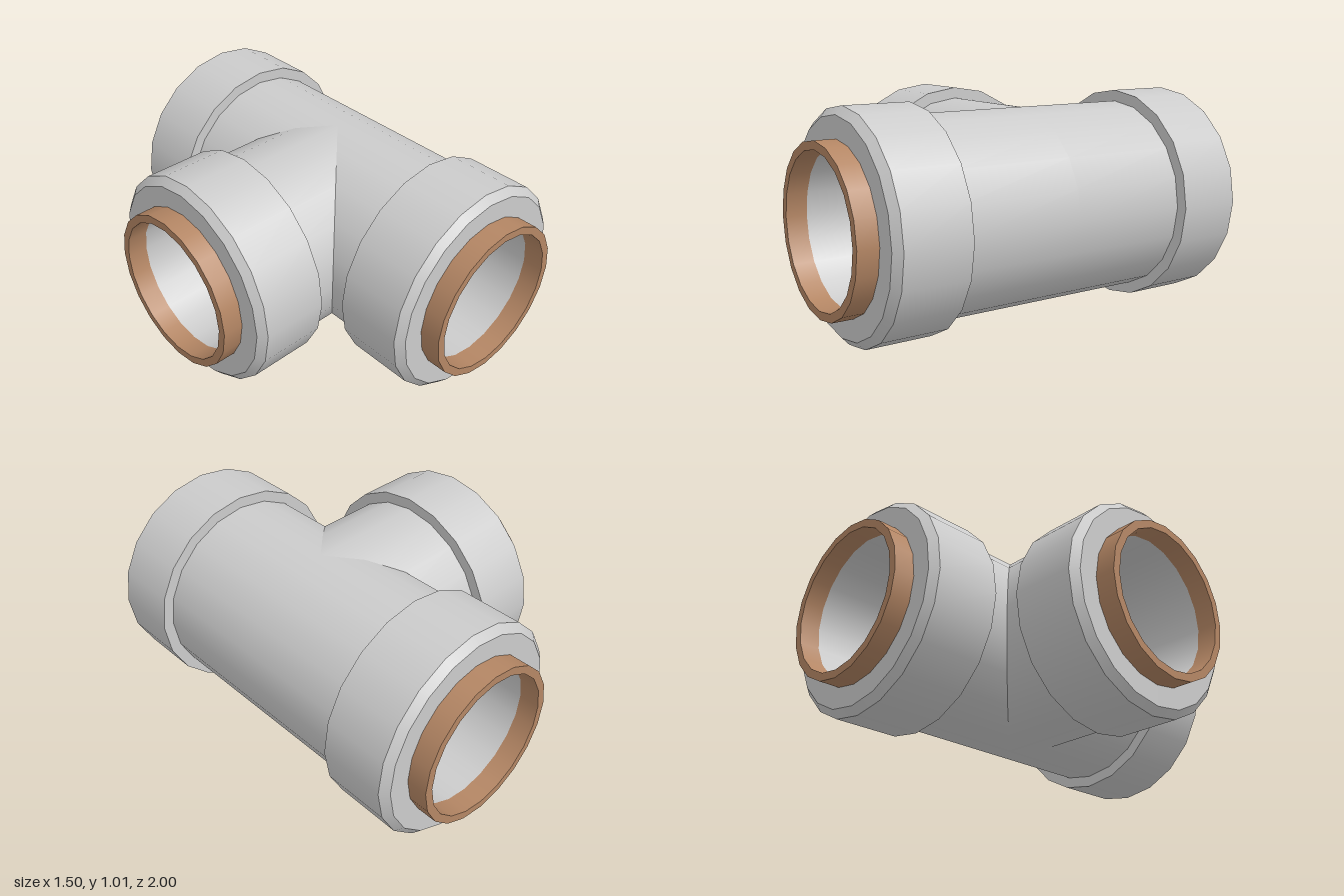
import * as THREE from 'three';
import { mergeGeometries } from 'three/addons/utils/BufferGeometryUtils.js';

const SIDES = 20;
const BORE = 0.335;

// Closed ring profile of [radius, distance] points; each band is lathed on its
// own so it is smooth around the axis but sharp at every profile corner.
function ring(profile) {
  const bands = profile.map((p, i) => {
    const q = profile[(i + 1) % profile.length];
    return new THREE.LatheGeometry([new THREE.Vector2(...p), new THREE.Vector2(...q)], SIDES);
  });
  return mergeGeometries(bands);
}

export function createModel() {
  const grey = new THREE.MeshStandardMaterial({ color: 0xcccccc });
  const copper = new THREE.MeshStandardMaterial({ color: 0xb48664 });

  // One arm of the tee, pointing along +y from the junction
  const parts = [
    ['pipe', grey, ring([[BORE, 0], [0.4525, 0], [0.4525, 0.565], [BORE, 0.565]])],
    ['collar', grey, ring([[BORE, 0.565], [0.505, 0.565], [0.505, 0.873], [0.47, 0.905], [BORE, 0.905]])],
    ['copperSleeve', copper, ring([[BORE, 0.905], [0.3725, 0.905], [0.3725, 1], [BORE, 1]])],
  ];

  function arm(name, rx, rz) {
    const group = new THREE.Group();
    group.name = name;
    for (const [part, material, geometry] of parts) {
      const mesh = new THREE.Mesh(geometry, material);
      mesh.name = part;
      group.add(mesh);
    }
    group.rotation.set(rx, 0, rz);
    group.position.set(0.25, 0.505, 0);
    return group;
  }

  // Straight run front to back, with a branch to the right
  const model = new THREE.Group();
  model.name = 'pipeTee';
  model.add(
    arm('frontArm', Math.PI / 2, 0),
    arm('backArm', -Math.PI / 2, 0),
    arm('branchArm', 0, Math.PI / 2),
  );
  return model;
}
